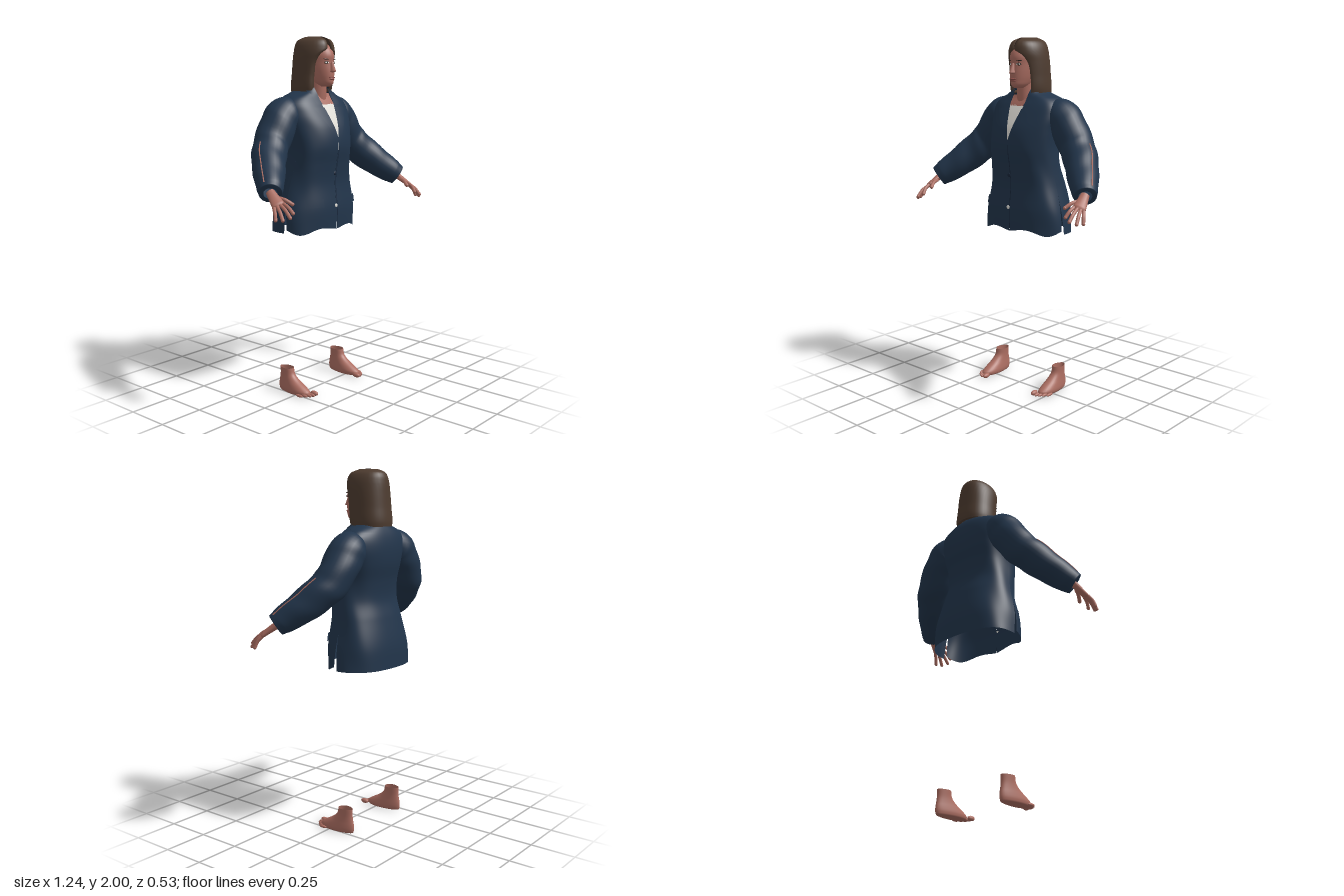
import * as THREE from 'three';

const mat = (name, color) => {
  const m = new THREE.MeshStandardMaterial({ color, side: THREE.DoubleSide });
  m.name = name;
  return m;
};
const navy = mat('navy cloth', 0x22354b), skin = mat('skin', 0xac6e62), brown = mat('brown hair', 0x4e3c30);
const white = mat('white shirt', 0xe2dfd8), lip = mat('lips', 0x8e504a), dark = mat('dark brown', 0x2a1e1a);
const seam = mat('dark navy', 0x18263a);

const V = (x, y, z) => new THREE.Vector3(x, y, z);
const pw = (t, p) => Math.sign(t) * Math.abs(t) ** p;

function add(parent, name, geo, material) {
  const m = new THREE.Mesh(geo, material);
  m.name = name;
  parent.add(m);
  return m;
}

// Surface from a point rule; u runs around, v runs upward
function grid(nu, nv, fn, wrap = false) {
  const pos = [], idx = [], w = wrap ? nu : nu + 1;
  for (let j = 0; j <= nv; j++)
    for (let i = 0; i < w; i++) pos.push(...fn(i / nu, j / nv, j).toArray());
  for (let j = 0; j < nv; j++)
    for (let i = 0; i < nu; i++) {
      const k = (i + 1) % w, a = j * w + i, b = j * w + k, c = a + w, d = b + w;
      idx.push(a, b, c, b, d, c);
    }
  const g = new THREE.BufferGeometry();
  g.setAttribute('position', new THREE.Float32BufferAttribute(pos, 3));
  g.setIndex(idx);
  g.computeVertexNormals();
  return g;
}

// Smooth lookup in rows of [y, half width, front z, back z, ...]
function profile(rows) {
  const n = rows[0].length - 1;
  const c = new THREE.CubicInterpolant(rows.map(r => r[0]), rows.flatMap(r => r.slice(1)), n, new Float32Array(n));
  return y => [...c.evaluate(y)];
}

function oval([hw, zf, zb], y, a, p = 1, off = 0) {
  return V((hw + off) * pw(Math.sin(a), p), y, (zf + zb) / 2 + ((zf - zb) / 2 + off) * pw(Math.cos(a), p));
}

// Closed body of oval slices, with optional end caps
function body(rows, nv, capLow, capHigh, bend = p => p) {
  const at = profile(rows), y0 = rows[0][0], y1 = rows.at(-1)[0];
  return grid(32, nv, (u, v, j) => {
    const t = THREE.MathUtils.clamp((j - (capLow ? 1 : 0)) / (nv - (capLow ? 1 : 0) - (capHigh ? 1 : 0)), 0, 1);
    const y = y0 + (y1 - y0) * t, r = at(y);
    const p = bend(oval(r, y, u * Math.PI * 2), r);
    if ((capLow && j === 0) || (capHigh && j === nv)) p.set(bend(V(0, y, (r[1] + r[2]) / 2), r).x, y, (r[1] + r[2]) / 2);
    return p;
  }, true);
}

function ball(parent, name, material, p, s) {
  const m = add(parent, name, new THREE.SphereGeometry(1, 16, 10), material);
  m.position.set(...p);
  m.scale.set(...s);
  return m;
}

// Jacket shape
const torso = profile([
  [0.93, 0.265, 0.085, -0.255], [1.05, 0.257, 0.088, -0.25], [1.2, 0.225, 0.075, -0.22],
  [1.3, 0.208, 0.085, -0.195], [1.4, 0.203, 0.1, -0.2], [1.5, 0.215, 0.085, -0.22],
  [1.58, 0.232, 0.05, -0.223], [1.64, 0.225, 0.018, -0.213], [1.675, 0.185, -0.003, -0.2],
  [1.7, 0.115, -0.012, -0.185], [1.73, 0.068, -0.02, -0.155]]);
const onTorso = (y, a, off = 0) => {
  const fold = 0.004 * Math.sin(5 * a + 14 * y) * Math.sin(a) ** 2;
  return oval(torso(y), y, a, 0.8, off + fold);
};
const angleAt = (y, x) => Math.sign(x) * Math.asin(Math.min(1, Math.abs(x) / torso(y)[0]) ** 1.25);
const neckline = y => y < 1.43 ? 0.001 : Math.min(0.055, (y - 1.43) * 0.25);
const vent = y => Math.max(0, 1.13 - y) * 0.3;

function clothStrip(y0, y1, x0, x1, off, nv = 20) {
  return grid(8, nv, (u, v) => {
    const y = y0 + (y1 - y0) * v;
    return onTorso(y, THREE.MathUtils.lerp(angleAt(y, x0(y)), angleAt(y, x1(y)), u), off);
  });
}

function jacket(root) {
  const g = new THREE.Group();
  g.name = 'jacket';
  root.add(g);
  const side = 1.5;
  for (const s of [1, -1]) {
    add(g, 'jacketFront', grid(24, 60, (u, v) => {
      const y0 = 0.935 + 0.015 * Math.sin(u * 7) * (1 - v), y = y0 + (1.73 - y0) * v;
      return onTorso(y, s * THREE.MathUtils.lerp(angleAt(y, neckline(y)), side - vent(y), u));
    }), navy);
    // Lapel, collar and pocket flap lie just above the cloth
    add(g, 'lapel', clothStrip(1.4, 1.615, y => s * neckline(y), y => s * (neckline(y) + (y - 1.4) * 0.36), 0.008), navy);
    add(g, 'collar', clothStrip(1.63, 1.725, y => s * neckline(y), y => s * (neckline(y) + 0.04), 0.009), navy);
    add(g, 'pocketFlap', clothStrip(1.07, 1.115, () => s * 0.1, () => s * 0.205, 0.007, 4), navy);
  }
  add(g, 'jacketBack', grid(44, 60, (u, v) => {
    const y = 0.925 + 0.805 * v, a = side + vent(y) * 0.4;
    return onTorso(y, THREE.MathUtils.lerp(a, Math.PI * 2 - a, u));
  }), navy);
  add(g, 'frontEdge', clothStrip(0.95, 1.42, () => 0.002, () => 0.007, 0.003), seam);
  add(g, 'shirt', clothStrip(1.38, 1.635, () => -0.075, () => 0.075, -0.012), white);
  add(g, 'upperChest', clothStrip(1.63, 1.69, () => -0.07, () => 0.07, -0.012), skin);
  for (const [y, m] of [[1.25, seam], [1.07, white]])
    ball(g, 'button', m, [-0.005, y, torso(y)[1] + 0.003], [0.011, 0.011, 0.004]);
}

function arm(g) {
  // Sleeve rings: x, y, z, radius
  const rows = [[0.15, 1.60, -0.11, 0.075], [0.21, 1.575, -0.11, 0.1], [0.26, 1.52, -0.108, 0.102],
    [0.33, 1.42, -0.095, 0.098], [0.39, 1.355, -0.055, 0.094], [0.46, 1.28, 0.015, 0.085],
    [0.525, 1.217, 0.085, 0.07], [0.548, 1.195, 0.108, 0.06]];
  const path = new THREE.CatmullRomCurve3(rows.map(r => V(r[0], r[1], r[2])));
  const rad = profile(rows.map((r, i) => [i / 7, r[3]]));
  const at = (t, a, k = 1) => {
    const d = path.getTangent(t), b = d.clone().cross(V(0, 0, 1)).normalize(), c = b.clone().cross(d);
    const r = rad(t)[0] * k * (1 + 0.025 * Math.sin(t * 34 + 2 * a) * Math.sin(Math.PI * t));
    return path.getPoint(t).addScaledVector(b, r * Math.cos(a)).addScaledVector(c, r * Math.sin(a));
  };
  add(g, 'sleeve', grid(28, 44, (u, v, j) => at(Math.min(1, j / 42), u * Math.PI * 2, j > 42 ? 0.6 : 1), true), navy);
  const line = Array.from({ length: 9 }, (_, i) => at(0.52 + i * 0.05, Math.PI, 1));
  add(g, 'sleeveOpening', new THREE.TubeGeometry(new THREE.CatmullRomCurve3(line), 30, 0.0035, 6), skin);

  // Hand: palm between wrist and knuckles, then fingers
  const wrist = V(0.54, 1.2, 0.1), knuckle = V(0.566, 1.142, 0.183), across = V(0.8, -0.35, -0.45).normalize();
  const dir = knuckle.clone().sub(wrist).normalize(), thick = dir.clone().cross(across).normalize();
  add(g, 'palm', grid(16, 10, (u, v, j) => {
    const a = u * Math.PI * 2, k = j === 10 ? 0 : 1;
    return wrist.clone().lerp(knuckle, v * 1.08)
      .addScaledVector(across, k * (0.024 + 0.012 * v) * Math.cos(a))
      .addScaledVector(thick, k * (0.02 - 0.008 * v) * Math.sin(a));
  }, true), skin);
  const fingers = [['indexFinger', -0.027, V(0.532, 1.105, 0.25)], ['middleFinger', -0.009, V(0.566, 1.088, 0.262)],
    ['ringFinger', 0.009, V(0.594, 1.075, 0.238)], ['littleFinger', 0.026, V(0.61, 1.075, 0.203)]];
  const finger = (name, a, tip, r) => {
    const mid = a.clone().lerp(tip, 0.5).add(V(0.002, 0.006, 0.003));
    const curve = new THREE.CatmullRomCurve3([a, mid, tip]);
    add(g, name, new THREE.TubeGeometry(curve, 10, r, 8), skin);
    ball(g, name + 'Tip', skin, tip.toArray(), [r, r, r]);
  };
  for (const [name, o, tip] of fingers) finger(name, knuckle.clone().addScaledVector(across, o), tip, 0.0095);
  finger('thumb', V(0.532, 1.175, 0.14), V(0.5, 1.145, 0.215), 0.0105);
}

function foot(g) {
  // The slices widen towards the toes
  add(g, 'foot', body([[0.004, 0.042, 0.07, -0.145], [0.02, 0.046, 0.078, -0.15], [0.045, 0.042, 0.045, -0.15],
    [0.07, 0.036, 0.0, -0.145], [0.1, 0.032, -0.037, -0.14], [0.14, 0.033, -0.05, -0.14]], 18, true, false, (p, r) => {
    const f = (p.z - r[2]) / (r[1] - r[2]);
    p.x = p.x * (0.75 + 0.3 * f) + 0.222;
    return p;
  }), skin);
  for (let i = 0; i < 5; i++) {
    const r = i ? 0.0095 - i * 0.0004 : 0.014;
    ball(g, 'toe', skin, [0.19 + i * 0.0175 + (i ? 0.004 : 0), r + 0.002, 0.086 - i * i * 0.003], [r, r, 0.026]);
  }
}

function head(root) {
  const g = new THREE.Group();
  g.name = 'head';
  root.add(g);
  add(g, 'neck', body([[1.56, 0.055, -0.01, -0.13], [1.65, 0.049, -0.003, -0.12], [1.78, 0.05, 0.005, -0.12]], 10), skin);
  add(g, 'face', body([[1.728, 0.022, 0.036, -0.04], [1.74, 0.038, 0.051, -0.07], [1.77, 0.054, 0.056, -0.11],
    [1.81, 0.064, 0.056, -0.13], [1.86, 0.07, 0.051, -0.14], [1.9, 0.07, 0.051, -0.14],
    [1.94, 0.06, 0.03, -0.13], [1.965, 0.04, 0.0, -0.1]], 30, true, true), skin);
  // Nose, a wedge that swells towards the tip
  add(g, 'nose', grid(12, 10, (u, v, j) => {
    const a = u * Math.PI * 2, s = j === 0 ? 0 : 1 - 0.65 * v;
    return V(0.017 * s * Math.sin(a), 1.803 + 0.06 * v, 0.05 + (0.034 * s - 0.004 * v) * Math.cos(a) * (Math.cos(a) > 0 ? 1 : 0.3));
  }, true), skin);
  ball(g, 'upperLip', lip, [0, 1.777, 0.054], [0.024, 0.005, 0.009]);
  ball(g, 'lowerLip', lip, [0, 1.769, 0.053], [0.02, 0.006, 0.009]);
  for (const s of [1, -1]) {
    ball(g, 'eyelid', dark, [s * 0.03, 1.858, 0.041], [0.016, 0.0075, 0.004]).rotation.y = s * 0.35;
    ball(g, 'eyeWhite', white, [s * 0.03, 1.857, 0.043], [0.013, 0.0045, 0.004]).rotation.y = s * 0.35;
    ball(g, 'iris', dark, [s * 0.03, 1.857, 0.0455], [0.005, 0.005, 0.003]);
    const brow = ball(g, 'eyebrow', dark, [s * 0.032, 1.876, 0.041], [0.018, 0.003, 0.004]);
    brow.rotation.set(0, s * 0.35, s * 0.08);
  }
  // Bob with a thick shell, open around the face: last value is the half opening
  const rows = [[1.695, 0.108, 0.008, -0.21, 0.07], [1.72, 0.112, 0.015, -0.212, 0.073], [1.8, 0.11, 0.022, -0.205, 0.073],
    [1.87, 0.107, 0.032, -0.2, 0.064], [1.91, 0.103, 0.042, -0.197, 0.04], [1.935, 0.098, 0.042, -0.194, 0],
    [1.965, 0.086, 0.035, -0.187, 0], [1.985, 0.069, 0.018, -0.172, 0], [2.0, 0.034, -0.025, -0.135, 0]];
  const at = profile(rows), n = 40;
  add(g, 'hair', grid(60, n, (u, v, j) => {
    const y = 1.695 + 0.305 * Math.min(1, Math.max(0, j - 1) / (n - 2)), r = at(y);
    const a0 = y > 1.935 ? 0 : Math.asin(Math.min(0.9, Math.max(0, r[3]) / r[0]));
    const outer = u < 0.5, t = outer ? u * 2 : 2 - u * 2;
    const k = j === n ? 0 : outer ? 1 : j === 0 ? 1 : 0.84;
    const p = oval(r, y, a0 + (Math.PI * 2 - 2 * a0) * t, 0.92), cz = (r[1] + r[2]) / 2;
    return p.set(p.x * k, y, cz + (p.z - cz) * k);
  }, true), brown);
  const part = [V(0, 1.937, 0.041), V(0, 1.967, 0.034), V(0, 1.987, 0.016), V(0, 1.999, -0.03), V(0, 1.999, -0.13)];
  add(g, 'hairParting', new THREE.TubeGeometry(new THREE.CatmullRomCurve3(part), 20, 0.0015, 5), dark);
}

export function createModel() {
  const root = new THREE.Group();
  root.name = 'figure';
  jacket(root);
  head(root);
  for (const [name, s] of [['left', 1], ['right', -1]])
    for (const [part, build] of [['Arm', arm], ['Foot', foot]]) {
      const g = new THREE.Group();
      g.name = name + part;
      build(g);
      g.scale.x = s;
      root.add(g);
    }
  return root;
}
